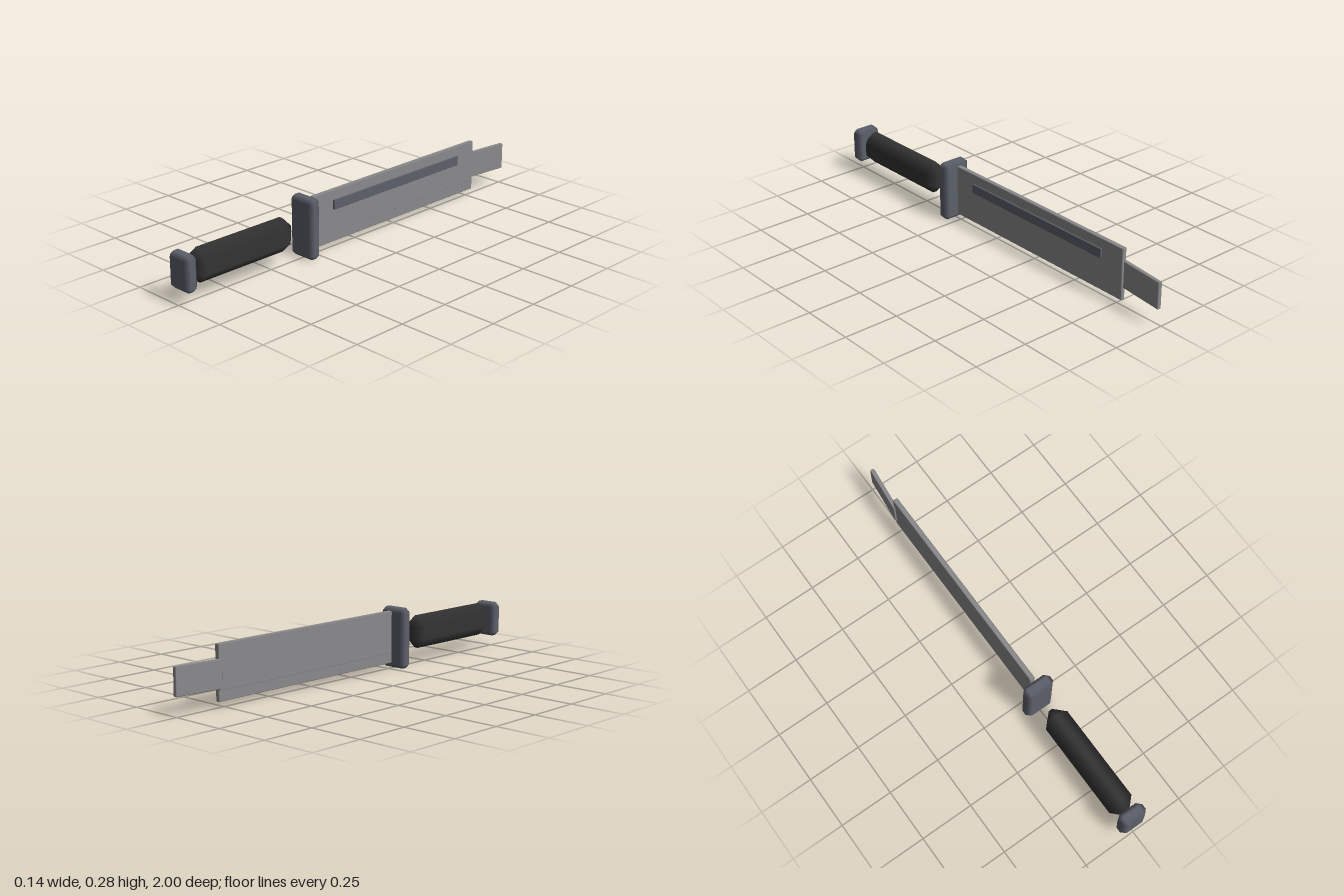
import * as THREE from 'three';
import { ConvexGeometry } from 'three/addons/geometries/ConvexGeometry.js';

const steel = new THREE.MeshStandardMaterial({ color: 0x8a8a8c });
const fitting = new THREE.MeshStandardMaterial({ color: 0x5c606a });
const grip = new THREE.MeshStandardMaterial({ color: 0x333333 });

// Box with a single chamfer on every edge; normals follow the main faces so the chamfers shade softly.
function chamferBox(w, h, d, bevel) {
  const half = [w / 2, h / 2, d / 2];
  const points = [];
  for (let axis = 0; axis < 3; axis++) {
    for (const sx of [-1, 1]) for (const sy of [-1, 1]) for (const sz of [-1, 1]) {
      const s = [sx, sy, sz];
      points.push(new THREE.Vector3(...half.map((v, i) => s[i] * (i === axis ? v : v - bevel))));
    }
  }
  const geometry = new ConvexGeometry(points);
  const { position, normal } = geometry.attributes;
  for (let i = 0; i < position.count; i++) {
    const p = [position.getX(i), position.getY(i), position.getZ(i)];
    const n = p.map((v, k) => (Math.abs(Math.abs(v) - half[k]) < 1e-5 ? Math.sign(v) : 0));
    normal.setXYZ(i, ...n);
  }
  return geometry;
}

// Places a chamfered box between its lower and upper limits on each axis.
function part(name, material, [x0, x1], [y0, y1], [z0, z1], bevel) {
  const mesh = new THREE.Mesh(chamferBox(x1 - x0, y1 - y0, z1 - z0, bevel), material);
  mesh.position.set((x0 + x1) / 2, (y0 + y1) / 2, (z0 + z1) / 2);
  mesh.name = name;
  return mesh;
}

export function createModel() {
  const model = new THREE.Group();
  model.name = 'machete';

  // Hilt
  model.add(
    part('pommel', fitting, [-0.062, 0.062], [0.058, 0.22], [0.936, 1], 0.02),
    part('handle', grip, [-0.056, 0.056], [0.068, 0.219], [0.393, 0.94], 0.047),
    part('guard', fitting, [-0.07, 0.07], [0, 0.277], [0.268, 0.331], 0.02),
  );

  // Blade, its cutting edge and the raised strip on the left side
  model.add(
    part('blade', steel, [-0.012, 0.012], [0.07, 0.265], [-0.785, 0.26], 0.004),
    part('cuttingEdge', steel, [-0.01, 0.01], [0.026, 0.074], [-0.785, 0.26], 0.003),
    part('sideStrip', fitting, [0.004, 0.02], [0.176, 0.22], [-0.668, 0.145], 0.002),
  );

  // Narrow tip, turned slightly sideways
  const tip = part('tip', steel, [-0.01, 0.01], [0.08, 0.204], [-0.998, -0.77], 0.004);
  tip.position.x = 0.001;
  tip.rotation.y = -0.1;
  model.add(tip);

  return model;
}
